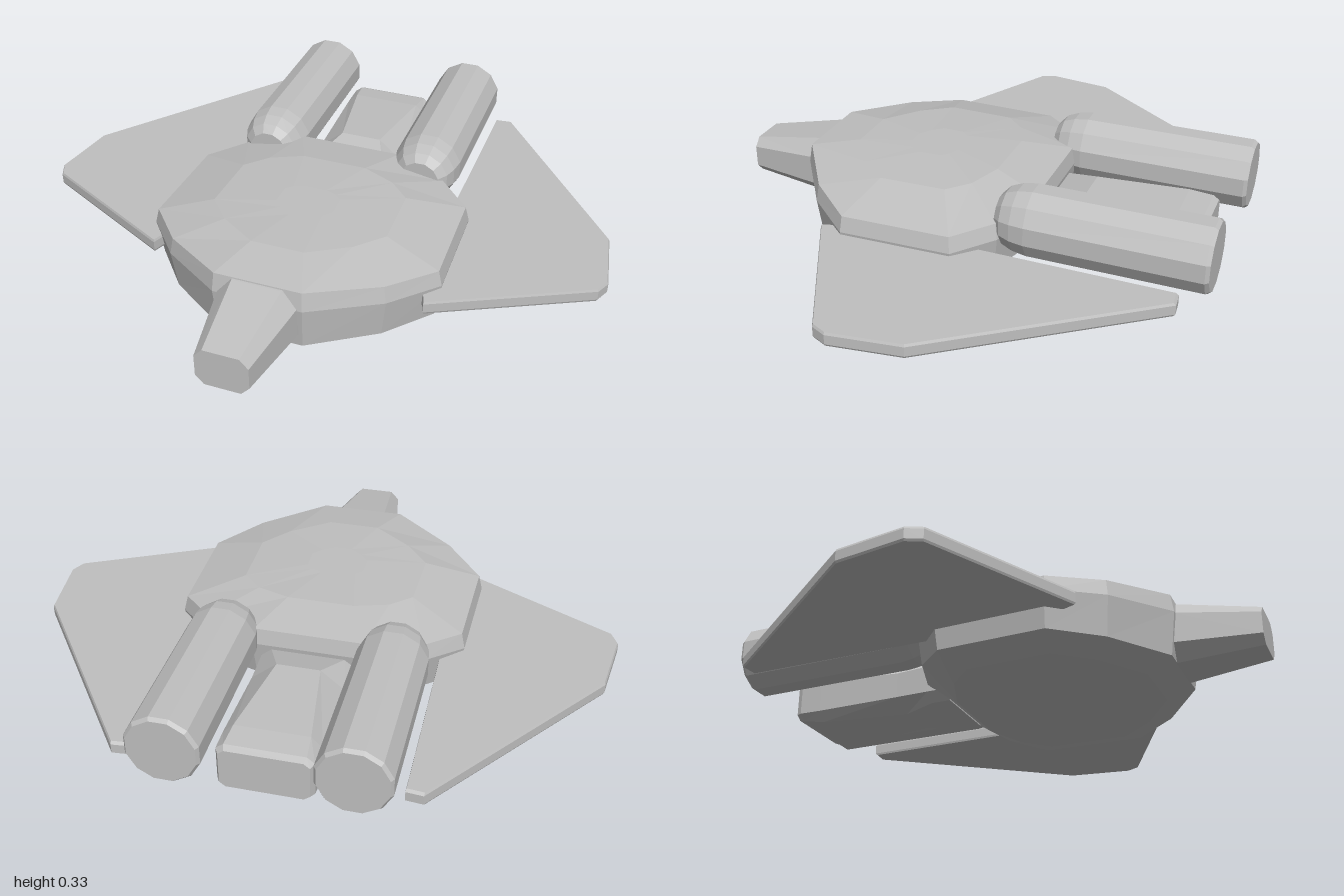
import * as THREE from 'three';

const hull = new THREE.MeshStandardMaterial({ color: 0xbfbfbf });
hull.name = 'hull grey';

// Facets a geometry so every face is flat
function flat(geometry) {
  const g = geometry.index ? geometry.toNonIndexed() : geometry;
  g.deleteAttribute('normal');
  g.computeVertexNormals();
  return g;
}

// Skins a stack of equal-length rings and closes both ends with fans
function loft(rings) {
  const n = rings[0].length, tris = [];
  const centre = (r) => r.reduce((s, p) => s.add(p), new THREE.Vector3()).divideScalar(n);
  const first = centre(rings[0]), last = centre(rings[rings.length - 1]);
  for (let i = 0; i < n; i++) {
    const j = (i + 1) % n;
    tris.push([first, rings[0][j], rings[0][i]]);
    for (let k = 0; k + 1 < rings.length; k++) {
      const a = rings[k], b = rings[k + 1];
      tris.push([a[i], a[j], b[j]], [a[i], b[j], b[i]]);
    }
    tris.push([last, rings[rings.length - 1][i], rings[rings.length - 1][j]]);
  }
  // Keep faces pointing outward whatever the ring direction
  const volume = tris.reduce((v, [a, b, c]) => v + a.dot(b.clone().cross(c)), 0);
  const points = tris.flatMap((t) => (volume < 0 ? [t[0], t[2], t[1]] : t));
  return flat(new THREE.BufferGeometry().setFromPoints(points));
}

function part(name, geometry) {
  const m = new THREE.Mesh(geometry, hull);
  m.name = name;
  return m;
}

// Eight-sided section across z: half widths and heights with corner cuts
function octagon(z, w, y0, y1, cutX, cutTop, cutBottom) {
  const right = [[w - cutX, y0], [w, y0 + cutBottom], [w, y1 - cutTop], [w - cutX, y1]];
  const left = right.map(([x, y]) => [-x, y]).reverse();
  return [...right, ...left].map(([x, y]) => new THREE.Vector3(x, y, z));
}

function bodyGeometry() {
  // Half outline: x, z, upper rim height, lower rim height
  const half = [
    [0.15, 0.605, 0.255, 0.04], [0.37, 0.455, 0.23, 0.037], [0.505, 0.295, 0.212, 0.035],
    [0.495, -0.085, 0.212, 0.035], [0.38, -0.2, 0.225, 0.05], [0.19, -0.275, 0.25, 0.07],
  ];
  const outline = [...half, ...half.map(([x, ...r]) => [-x, ...r]).reverse()];
  const ring = (scale, height) => outline.map(([x, z, top, bottom]) =>
    new THREE.Vector3(x * scale, height(top, bottom), 0.17 + (z - 0.17) * scale));
  return loft([
    ring(0.75, () => 0.004),
    ring(0.96, (t, b) => b),
    ring(1, (t, b) => b + (t - b) * 0.7),
    ring(0.975, (t) => t),
    ring(0.6, (t) => 0.268 + (t - 0.212) * 0.25),
    ring(0.2, () => 0.28),
  ]);
}

function wingGeometry() {
  const corners = [[0.40, 0.385], [0.47, 0.385], [0.975, 0.13], [0.998, 0.08],
    [0.965, -0.155], [0.48, -0.805], [0.425, -0.8], [0.42, -0.15], [0.40, -0.1]];
  corners[0] = [0.44, 0.3];
  // Thin plate with slightly softened edges
  const ring = (y, s) => corners.map(([x, z]) =>
    new THREE.Vector3(0.6 + (x - 0.6) * s, y, z * s));
  return loft([ring(0.103, 0.99), ring(0.11, 1), ring(0.142, 1), ring(0.15, 0.99)]);
}

function engineGeometry() {
  const profile = [[0, -0.35], [0.112, -0.35], [0.121, -0.338], [0.121, 0.235],
    [0.113, 0.285], [0.097, 0.325], [0.07, 0.35], [0, 0.35]];
  const g = new THREE.LatheGeometry(
    profile.map(([r, y]) => new THREE.Vector2(r, y)), 12, Math.PI / 12);
  return flat(g.rotateX(Math.PI / 2));
}

export function createModel() {
  const model = new THREE.Group();
  model.name = 'spacecraft';
  model.add(part('body', bodyGeometry()));

  // Tapered cockpit snout
  model.add(part('nose', loft([
    octagon(0.5, 0.145, 0.033, 0.262, 0.05, 0.055, 0.055),
    octagon(0.6, 0.133, 0.04, 0.25, 0.05, 0.055, 0.05),
    octagon(0.87, 0.088, 0.062, 0.196, 0.028, 0.03, 0.03),
  ])));

  // Housing between the engines, with a ramp up from the body
  model.add(part('rearHousing', loft([
    octagon(-0.2, 0.16, 0.025, 0.17, 0.035, 0.03, 0.03),
    octagon(-0.27, 0.16, 0.025, 0.18, 0.035, 0.03, 0.03),
    octagon(-0.39, 0.158, 0.025, 0.215, 0.085, 0.07, 0.03),
    octagon(-0.7, 0.156, 0.025, 0.205, 0.035, 0.035, 0.03),
    octagon(-0.78, 0.153, 0.038, 0.195, 0.025, 0.02, 0.02),
    octagon(-0.8, 0.142, 0.045, 0.185, 0.02, 0.015, 0.015),
  ])));

  const wing = wingGeometry();
  const engine = engineGeometry();
  for (const side of [1, -1]) {
    const label = side > 0 ? 'left' : 'right';
    const w = part(label + 'Wing', wing);
    w.scale.x = side;
    const e = part(label + 'Engine', engine);
    e.position.set(0.287 * side, 0.216, -0.529);
    model.add(w, e);
  }
  return model;
}
